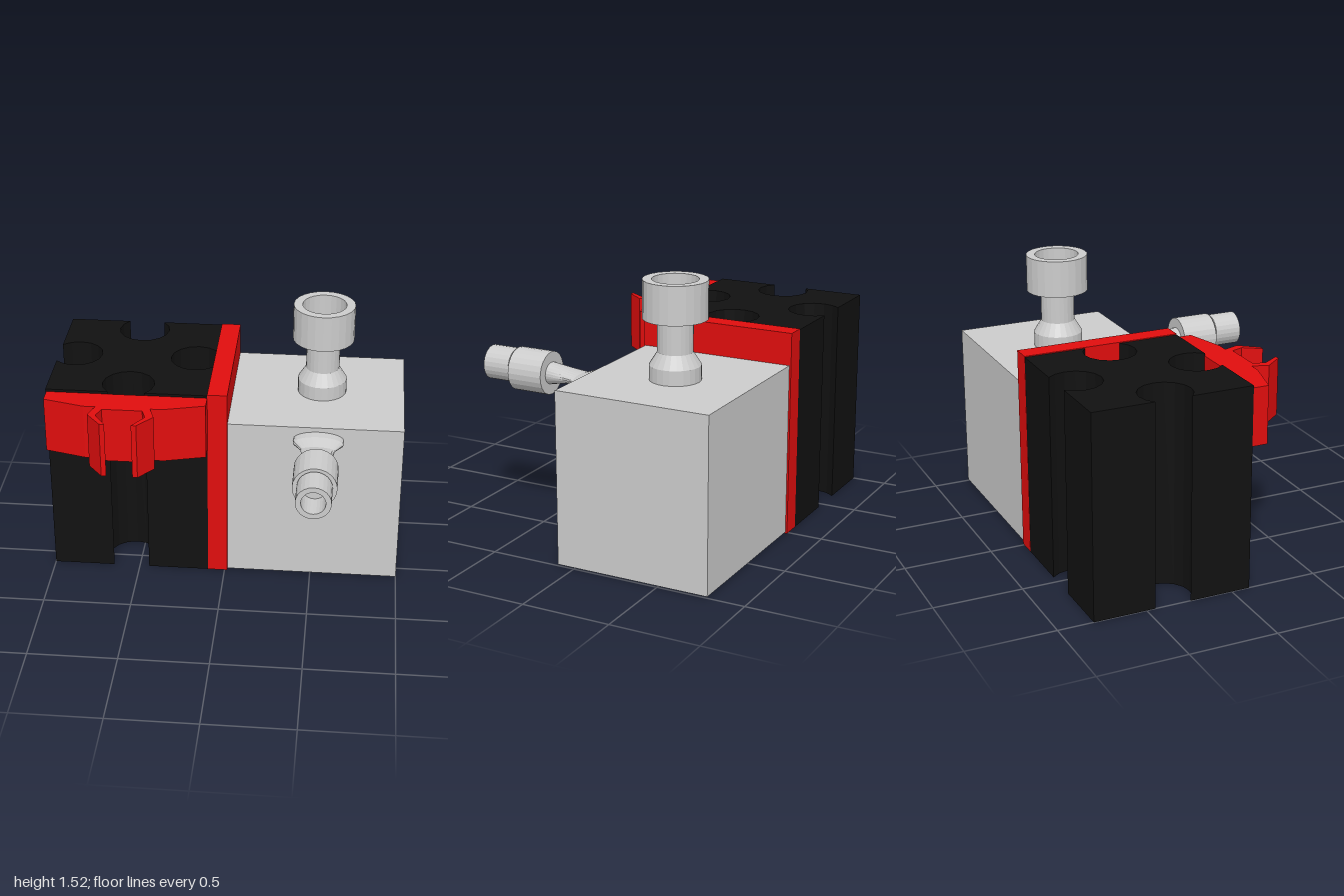
import * as THREE from 'three';

const material = (color) => new THREE.MeshStandardMaterial({ color, flatShading: true });
const grey = material(0xcccccc);
const red = material(0xe00d0d);
const black = material(0x111111);

// Extrudes a plan outline of [x, z] points upwards from y0 to y1
function prism(name, plan, y0, y1, mat) {
  const shape = new THREE.Shape(plan.map(([x, z]) => new THREE.Vector2(x, -z)));
  const geo = new THREE.ExtrudeGeometry(shape, { depth: y1 - y0, bevelEnabled: false });
  geo.rotateX(-Math.PI / 2).translate(0, y0, 0);
  const mesh = new THREE.Mesh(geo, mat);
  mesh.name = name;
  return mesh;
}

function box(name, [x0, x1], [y0, y1], [z0, z1], mat) {
  const mesh = new THREE.Mesh(new THREE.BoxGeometry(x1 - x0, y1 - y0, z1 - z0), mat);
  mesh.position.set((x0 + x1) / 2, (y0 + y1) / 2, (z0 + z1) / 2);
  mesh.name = name;
  return mesh;
}

// Turned part from [radius, height] points
function turned(profile) {
  return new THREE.LatheGeometry(profile.map(([r, h]) => new THREE.Vector2(r, h)), 24);
}

// Square plan with a round channel cut into the middle of every side
function channelledPlan(cx, cz, half, offset, radius) {
  const plan = [];
  const open = Math.acos((half - offset) / radius);
  const steps = 12;
  for (let side = 0; side < 4; side++) {
    const c = Math.cos(side * Math.PI / 2), s = Math.sin(side * Math.PI / 2);
    const add = (u, v) => plan.push([cx + u * c - v * s, cz - (u * s + v * c)]);
    add(half, -half);
    for (let i = 0; i <= steps; i++) {
      const a = -open - (2 * Math.PI - 2 * open) * i / steps;
      add(offset + radius * Math.cos(a), radius * Math.sin(a));
    }
  }
  return plan;
}

export function createModel() {
  const model = new THREE.Group();
  model.name = 'coupledBlocks';

  // Main bodies
  model.add(prism('channelledBlock', channelledPlan(-0.548, -0.347, 0.452, 0.347, 0.147), 0, 1.155, black));
  model.add(box('dividerPlate', [-0.096, 0.016], [0, 1.16], [-0.8, 0.106], red));
  model.add(box('greyBlock', [0.016, 1], [0.008, 0.978], [-0.79, 0.097], grey));

  // Front clip: one half of the outline, mirrored about its centre line
  const clipX = -0.545;
  const halfClip = [
    [0.45, 0.105], [0.45, 0.195], [0.22, 0.256], [0.152, 0.256], [0.182, 0.345],
    [0.1, 0.447], [0.072, 0.447], [0.135, 0.35], [0.112, 0.282],
  ];
  const clipPlan = [
    ...halfClip.map(([x, z]) => [clipX + x, z]),
    ...halfClip.slice().reverse().map(([x, z]) => [clipX - x, z]),
  ];
  model.add(prism('clip', clipPlan, 0.815, 1.14, red));

  // Upright post with a hollow cup
  const post = new THREE.Mesh(turned([
    [0.14, 0.97], [0.14, 1.06], [0.096, 1.13], [0.096, 1.31], [0.175, 1.31],
    [0.175, 1.52], [0.125, 1.52], [0.125, 1.33], [0, 1.33],
  ]), grey);
  post.name = 'topPost';
  post.position.set(0.526, 0, -0.358);
  model.add(post);

  // Front nozzle: flattened stem, collar and hollow tip along z
  const nozzle = new THREE.Group();
  nozzle.name = 'frontNozzle';
  nozzle.position.set(0.526, 0.905, 0);

  const stemSections = [ // z, half width, half height
    [0.09, 0.14, 0.047], [0.15, 0.14, 0.045], [0.22, 0.095, 0.022],
    [0.31, 0.083, 0.042], [0.415, 0.068, 0.063],
  ];
  const stemGeo = turned(stemSections.map(([z, w]) => [w, z]));
  const pos = stemGeo.attributes.position;
  for (let i = 0; i < pos.count; i++) {
    const [, w, h] = stemSections[i % stemSections.length];
    pos.setZ(i, pos.getZ(i) * h / w);
  }
  stemGeo.computeVertexNormals();

  const nozzleParts = [
    ['stem', stemGeo, 0],
    ['collar', turned([[0, 0.408], [0.121, 0.408], [0.121, 0.618], [0, 0.618]]), 0],
    ['tip', turned([
      [0.07, 0.61], [0.07, 0.632], [0.096, 0.632], [0.096, 0.792],
      [0.066, 0.792], [0.066, 0.64], [0, 0.64],
    ]), 0.015],
  ];
  for (const [name, geo, rise] of nozzleParts) {
    const mesh = new THREE.Mesh(geo.rotateX(Math.PI / 2), grey);
    mesh.name = name;
    mesh.position.y = rise;
    nozzle.add(mesh);
  }
  model.add(nozzle);

  return model;
}
